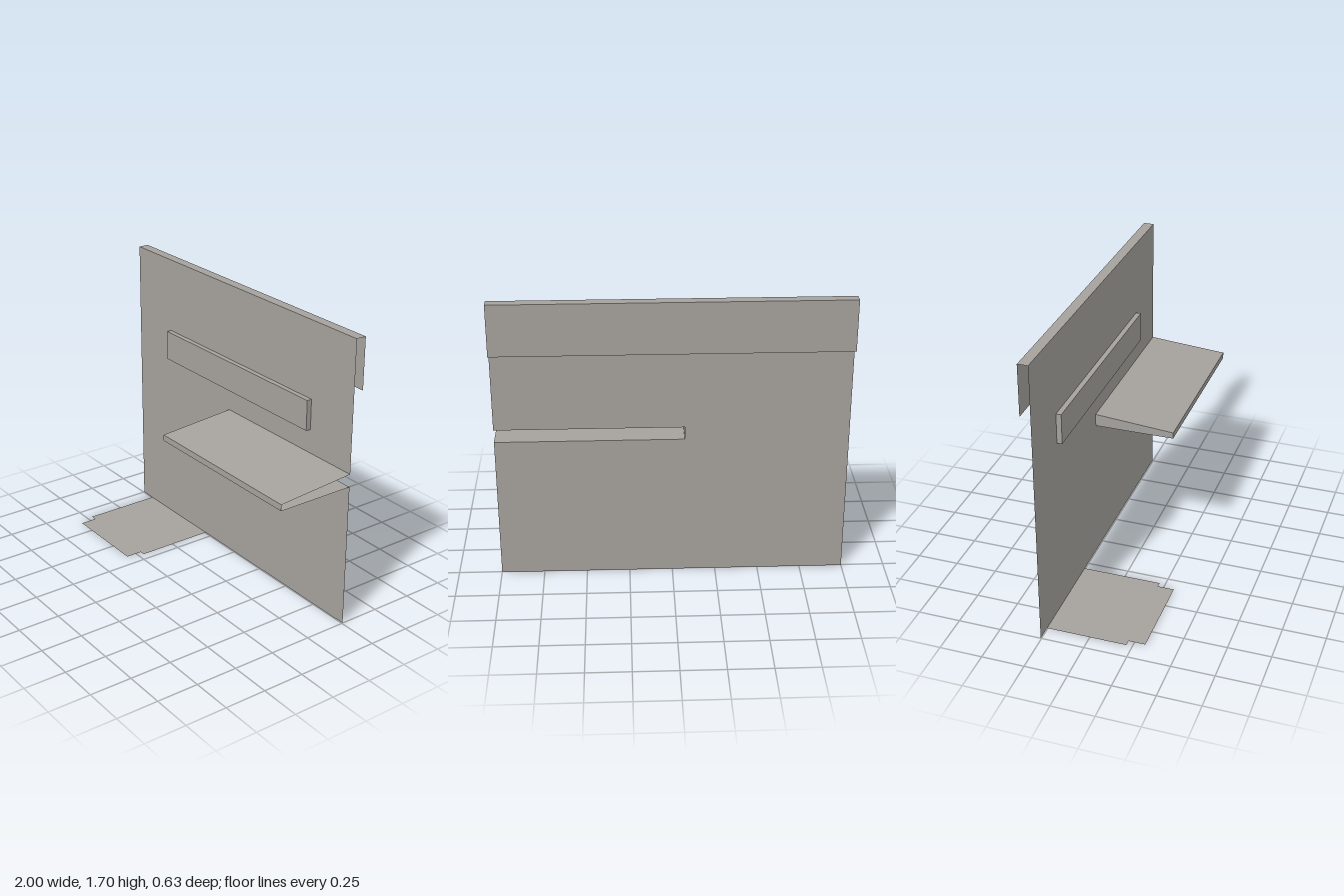
import * as THREE from 'three';

const BACK = -0.255; // plane of the main wall sheet
const REAR = -0.315; // plane of the folded flap
const FRONT = 0.215; // front edge of the desk

// Flat four-cornered sheet, corners counter-clockwise seen from outside
function quad(name, material, a, b, c, d) {
  const geometry = new THREE.BufferGeometry();
  geometry.setAttribute('position', new THREE.Float32BufferAttribute([...a, ...b, ...c, ...d], 3));
  geometry.setIndex([0, 1, 2, 0, 2, 3]);
  geometry.computeVertexNormals();
  const mesh = new THREE.Mesh(geometry, material);
  mesh.name = name;
  return mesh;
}

// Hollow sheet casing fixed to the wall, open at the back
function casing(name, material, { x0, x1, y0, yFront, yBack, z, rightEnd }) {
  const group = new THREE.Group();
  group.name = name;
  group.add(
    quad(name + 'Top', material, [x0, yFront, z], [x1, yFront, z], [x1, yBack, BACK], [x0, yBack, BACK]),
    quad(name + 'Bottom', material, [x0, y0, BACK], [x1, y0, BACK], [x1, y0, z], [x0, y0, z]),
    quad(name + 'Front', material, [x0, y0, z], [x1, y0, z], [x1, yFront, z], [x0, yFront, z]),
    quad(name + 'InnerEnd', material, [x0, y0, BACK], [x0, y0, z], [x0, yFront, z], [x0, yBack, BACK])
  );
  if (rightEnd) {
    group.add(quad(name + 'OuterEnd', material, [x1, y0, z], [x1, y0, BACK], [x1, yBack, BACK], [x1, yFront, z]));
  }
  return group;
}

function sheet(name, material, points) {
  const shape = new THREE.Shape(points.map(([x, y]) => new THREE.Vector2(x, y)));
  const mesh = new THREE.Mesh(new THREE.ShapeGeometry(shape), material);
  mesh.name = name;
  return mesh;
}

export function createModel() {
  const model = new THREE.Group();
  model.name = 'wallPanel';
  const grey = new THREE.MeshStandardMaterial({ color: 0xa5a29d, side: THREE.DoubleSide });
  grey.name = 'warm grey';

  // Main wall sheet, notched where the desk passes into it
  const wall = sheet('wall', grey, [
    [-1, 0], [1, 0], [1, 0.855], [-0.07, 0.855], [-0.07, 0.93], [1, 0.93], [1, 1.7], [-1, 1.7],
  ]);
  wall.position.z = BACK;
  model.add(wall);

  // Top edge folded over to the rear
  model.add(
    quad('topStrip', grey, [-1, 1.7, BACK], [1, 1.7, BACK], [1, 1.7, REAR], [-1, 1.7, REAR]),
    quad('rearFlap', grey, [1, 1.4, REAR], [-1, 1.4, REAR], [-1, 1.7, REAR], [1, 1.7, REAR])
  );

  // Sloping desk, open at its outer end, and the raised rail above it
  model.add(
    casing('desk', grey, { x0: -0.07, x1: 1, y0: 0.855, yFront: 0.892, yBack: 0.93, z: FRONT, rightEnd: false }),
    casing('rail', grey, { x0: -0.665, x1: 0.665, y0: 1.07, yFront: 1.25, yBack: 1.25, z: -0.225, rightEnd: true })
  );

  // Stepped foot plate on the floor (shape y becomes -z)
  const foot = sheet('footPlate', grey, [
    [-0.905, -FRONT], [-0.868, -FRONT], [-0.868, -0.313], [-0.337, -0.313],
    [-0.337, -FRONT], [-0.304, -FRONT], [-0.304, -BACK], [-0.905, -BACK],
  ]);
  foot.rotation.x = -Math.PI / 2;
  model.add(foot);

  return model;
}
